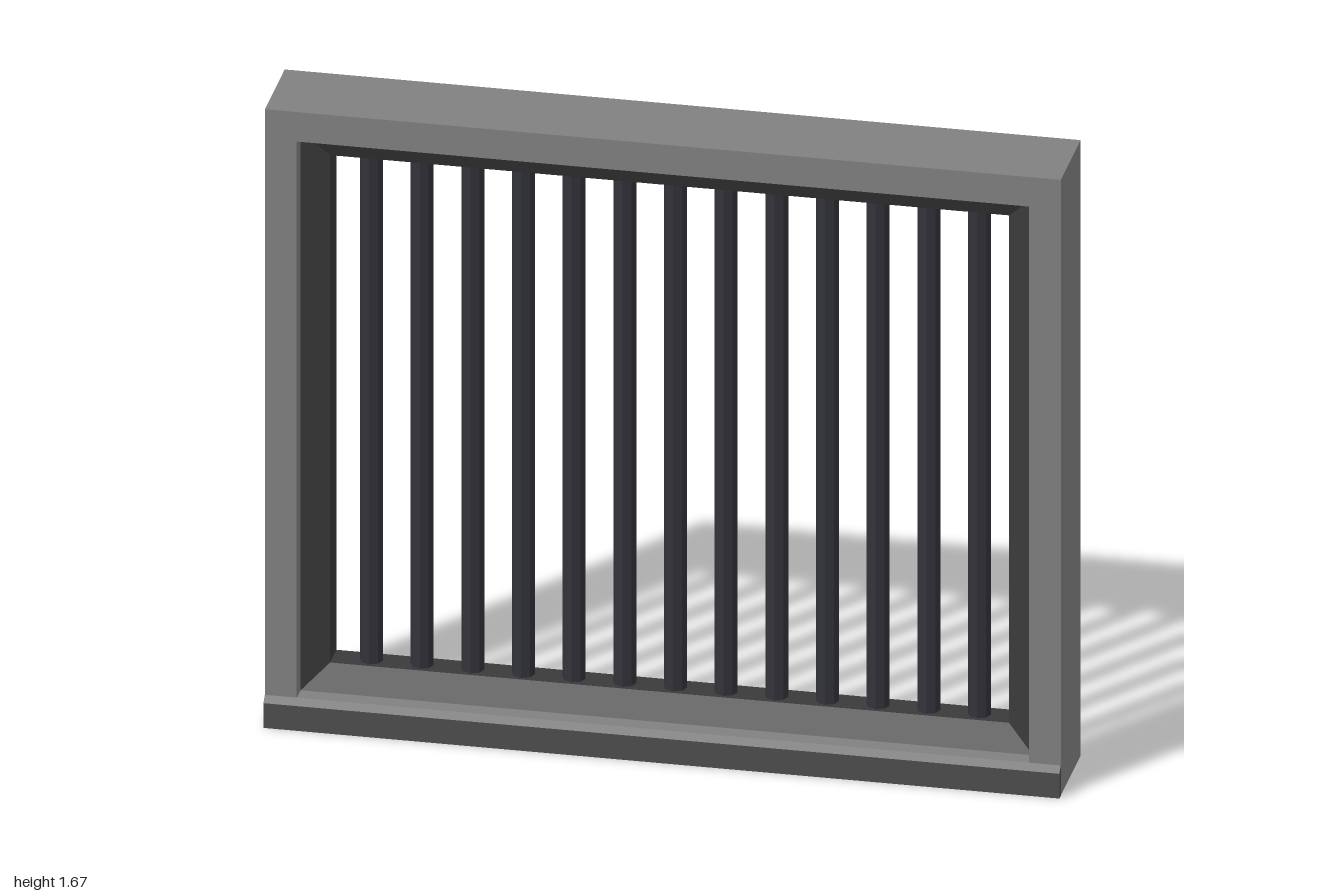
import * as THREE from 'three';

const WIDTH = 2, HEIGHT = 1.67, MID_Z = -0.0085;

const paint = (color) => new THREE.MeshStandardMaterial({ color, flatShading: true });

// Sweeps a closed profile of [inset, z] points round the window rectangle with mitred corners.
function mitredFrame(profile) {
  const corner = ([inset, z], k) => [
    (k === 0 || k === 3 ? -1 : 1) * (WIDTH / 2 - inset),
    k < 2 ? inset : HEIGHT - inset,
    z,
  ];
  const positions = [];
  for (let i = 0; i < profile.length; i++) {
    const p = profile[i], q = profile[(i + 1) % profile.length];
    for (let k = 0; k < 4; k++) {
      const n = (k + 1) % 4;
      const a = corner(p, k), b = corner(p, n), c = corner(q, n), d = corner(q, k);
      positions.push(...a, ...b, ...c, ...a, ...c, ...d);
    }
  }
  const geometry = new THREE.BufferGeometry();
  geometry.setAttribute('position', new THREE.Float32BufferAttribute(positions, 3));
  geometry.computeVertexNormals();
  return geometry;
}

export function createModel() {
  const model = new THREE.Group();
  const add = (name, geometry, material) => {
    const mesh = new THREE.Mesh(geometry, material);
    mesh.name = name;
    model.add(mesh);
    return mesh;
  };

  // Outer surround, square in section
  const back = -0.127, front = 0.11;
  add('outerFrame', mitredFrame([
    [0, back], [0, front], [0.08, front], [0.08, back],
  ]), paint(0x808080));

  // Inner frame, bevelled towards the opening on both faces
  add('innerFrame', mitredFrame([
    [0.08, MID_Z - 0.07], [0.08, MID_Z + 0.07],
    [0.147, MID_Z + 0.038], [0.147, MID_Z - 0.038],
  ]), paint(0x3a3a3a));

  // Sill strip along the bottom front edge, with a sloped top
  const sillShape = new THREE.Shape([
    new THREE.Vector2(-front, 0), new THREE.Vector2(-front, 0.082),
    new THREE.Vector2(-0.127, 0.067), new THREE.Vector2(-0.127, 0),
  ]);
  const sill = new THREE.ExtrudeGeometry(sillShape, { depth: WIDTH, bevelEnabled: false });
  sill.translate(0, 0, -WIDTH / 2).rotateY(Math.PI / 2);
  add('sill', sill, paint(0x4d4d4d));

  // Row of vertical bars
  const bars = new THREE.Group();
  bars.name = 'bars';
  const barBottom = 0.14, barTop = HEIGHT - 0.14;
  const barGeometry = new THREE.CylinderGeometry(0.029, 0.029, barTop - barBottom, 8);
  const barMaterial = paint(0x32323a);
  for (let i = 0; i < 13; i++) {
    const bar = new THREE.Mesh(barGeometry, barMaterial);
    bar.name = `bar${i + 1}`;
    bar.position.set(0.007 + (i - 6) * 0.1273, (barBottom + barTop) / 2, MID_Z);
    bars.add(bar);
  }
  model.add(bars);

  return model;
}
